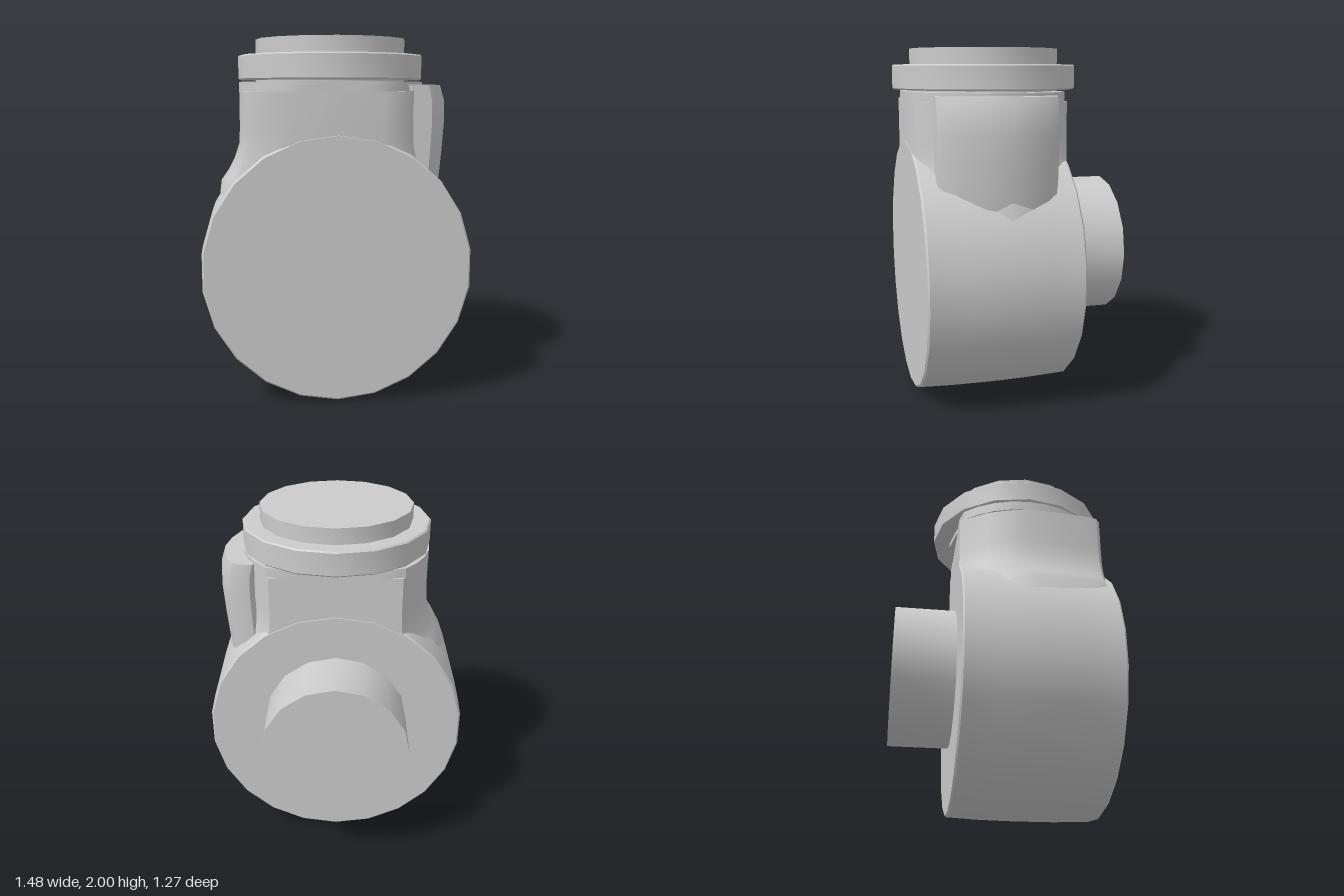
import * as THREE from 'three';
import { toCreasedNormals } from 'three/addons/utils/BufferGeometryUtils.js';

const material = new THREE.MeshStandardMaterial({ color: 0xcccccc });
const CENTRE_Z = 0.105; // axis of the neck and lid

// Joins equal-length rings of [x, y, z] (counter-clockwise seen from +z, rising in z) and caps both ends.
function loft(rings) {
  const n = rings[0].length;
  const index = [];
  for (let k = 0; k < rings.length - 1; k++) {
    for (let i = 0; i < n; i++) {
      const a = k * n + i, b = k * n + (i + 1) % n;
      index.push(a, b, b + n, a, b + n, a + n);
    }
  }
  const top = (rings.length - 1) * n;
  const outline = rings[0].map(([x, y]) => new THREE.Vector2(x, y));
  for (const [a, b, c] of THREE.ShapeUtils.triangulateShape(outline, [])) {
    index.push(a, c, b, top + a, top + b, top + c);
  }
  const geometry = new THREE.BufferGeometry();
  geometry.setAttribute('position', new THREE.Float32BufferAttribute(rings.flat(2), 3));
  geometry.setIndex(index);
  return geometry;
}

// Raises a plan of [x, z] points through levels of [height, x scale].
function raise(plan, levels) {
  return loft(levels.map(([y, s]) => plan.map(([x, z]) => [x * s, -z, y]))).rotateX(-Math.PI / 2);
}

function circle(radius, sides, start = 0) {
  return Array.from({ length: sides }, (_, i) => {
    const a = start + (i / sides) * Math.PI * 2;
    return [radius * Math.cos(a), radius * Math.sin(a)];
  });
}

export function createModel() {
  const group = new THREE.Group();
  const add = (name, geometry, crease = 0.6) => {
    const mesh = new THREE.Mesh(toCreasedNormals(geometry, crease), material);
    mesh.name = name;
    group.add(mesh);
    return mesh;
  };

  // Slightly barrelled drum lying along z
  const section = circle(0.747, 22, -Math.PI / 2);
  const drum = [[-0.29, 0.972], [-0.28, 0.985], [-0.1, 0.996], [0.1, 1], [0.35, 0.997], [0.56, 0.985], [0.57, 0.972]];
  add('drumBody', loft(drum.map(([z, s]) => section.map(([x, y]) => [x * s, 0.752 + y * s, z]))));

  // Neck flaring into the drum
  const neckPlan = [
    [-0.36, -0.288], [-0.46, -0.14], [-0.505, -0.02], [-0.527, 0.1], [-0.515, 0.3], [-0.5, 0.46],
    [-0.485, 0.52], [-0.45, 0.545], [-0.25, 0.568], [0.25, 0.568], [0.33, 0.545], [0.41, 0.49],
    [0.47, 0.35], [0.527, 0.1], [0.505, -0.02], [0.46, -0.14], [0.36, -0.288],
  ];
  add('neck', raise(neckPlan, [[0.95, 1.27], [1.2, 1.21], [1.26, 1.13], [1.33, 1.06], [1.41, 1.01], [1.5, 1], [1.71, 1]]));

  // Curved lug on the left side of the neck
  const lugPlan = [
    [0.45, -0.16], [0.5, 0], [0.515, 0.15], [0.46, 0.35], [0.41, 0.455], [0.42, 0.475],
    [0.52, 0.475], [0.55, 0.45], [0.6, 0.35], [0.645, 0.23], [0.667, 0.1], [0.65, -0.02],
    [0.62, -0.11], [0.59, -0.165], [0.53, -0.19], [0.475, -0.19],
  ];
  add('sideLug', raise(lugPlan, [[1.1, 0.94], [1.25, 0.965], [1.4, 0.985], [1.55, 1], [1.66, 0.995], [1.745, 0.955]]));

  // Collar under the lid, trimmed flush with the front and back of the drum
  const collarPlan = circle(0.527, 32).map(([x, y]) => [x, Math.min(0.567, Math.max(-0.288, CENTRE_Z - y))]);
  add('collar', raise(collarPlan, [[1.705, 1], [1.762, 1]]));

  // Lid: spacer, wide rim with a small bevel, and raised cap
  const lidProfile = [
    [0, 1.74], [0.43, 1.74], [0.43, 1.772], [0.522, 1.772], [0.53, 1.78], [0.53, 1.903],
    [0.522, 1.911], [0.43, 1.911], [0.43, 2], [0, 2],
  ].map(([r, y]) => new THREE.Vector2(r, y));
  add('lid', new THREE.LatheGeometry(lidProfile, 16)).position.z = CENTRE_Z;

  // Round stub on the back
  const stub = new THREE.CylinderGeometry(0.41, 0.41, 0.37, 16).rotateX(Math.PI / 2);
  add('rearStub', stub).position.set(0, 0.82, -0.455);

  return group;
}
